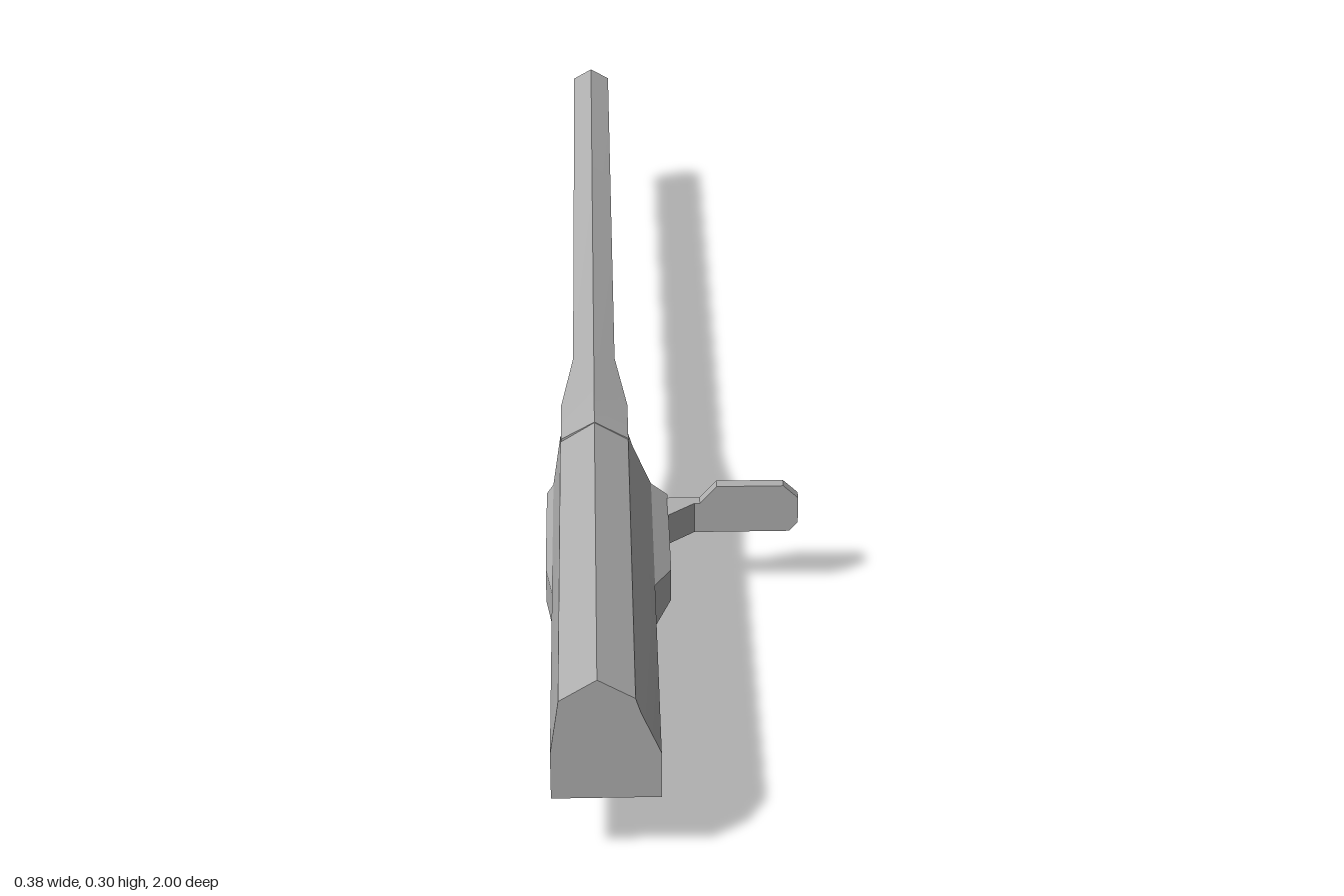
import * as THREE from 'three';
import { toCreasedNormals } from 'three/addons/utils/BufferGeometryUtils.js';

const CX = -0.117;

// Points of an upright hexagon, clockwise seen from the front
function hex(r, cy) {
  return Array.from({ length: 6 }, (_, i) => {
    const a = Math.PI / 2 - (i * Math.PI) / 3;
    return [CX + r * Math.cos(a), cy + r * Math.sin(a)];
  });
}

// Skin through cross-sections ordered from front (+z) to back, with end caps
function loft(sections, closed, crease) {
  const pos = [];
  const rings = sections.map(([z, pts]) => pts.map(([x, y]) => [x, y, z]));
  const n = rings[0].length;
  const tri = (a, b, c) => pos.push(...a, ...b, ...c);
  for (let s = 0; s < rings.length - 1; s++) {
    const a = rings[s], b = rings[s + 1];
    for (let i = 0; i < (closed ? n : n - 1); i++) {
      const j = (i + 1) % n;
      tri(a[i], a[j], b[j]);
      tri(a[i], b[j], b[i]);
    }
  }
  const cap = (ring, flip) => {
    const c = [0, 1, 2].map((k) => ring.reduce((t, p) => t + p[k], 0) / n);
    for (let i = 0; i < n; i++) {
      const p = ring[i], q = ring[(i + 1) % n];
      flip ? tri(c, q, p) : tri(c, p, q);
    }
  };
  cap(rings[0], true);
  cap(rings[rings.length - 1], false);
  const g = new THREE.BufferGeometry();
  g.setAttribute('position', new THREE.Float32BufferAttribute(pos, 3));
  return toCreasedNormals(g, crease);
}

const toShape = (pts) => new THREE.Shape(pts.map(([x, y]) => new THREE.Vector2(x, y)));

// Extrude an outline between two z positions
function slab(shape, z0, z1) {
  return new THREE.ExtrudeGeometry(shape, { depth: z1 - z0, bevelEnabled: false, curveSegments: 6 })
    .translate(0, 0, z0);
}

export function createModel() {
  const group = new THREE.Group();
  const grey = new THREE.MeshStandardMaterial({ color: 0xb0b0b0, side: THREE.DoubleSide });
  grey.name = 'grey';
  const add = (name, geometry) => {
    const mesh = new THREE.Mesh(geometry, grey);
    mesh.name = name;
    group.add(mesh);
  };

  // Receiver shell, open underneath, flaring at the lower rear
  const profile = (left, right, yl, yr) => [
    [left, 0.108], [left, yl], [-0.18, 0.18], [-0.168, 0.265], [CX, 0.298],
    [-0.067, 0.268], [-0.06, 0.245], [-0.033, 0.18], [right, yr], [right, 0.108],
  ];
  const plain = profile(-0.18, -0.033, 0.165, 0.16);
  const flared = profile(-0.19, -0.008, 0.165, 0.16);
  add('receiverShell', loft([[1, plain], [0.6, plain], [0.53, flared], [0.322, flared]], false, 0.4));

  // Long hexagonal rod, tapering behind the shell
  add('rod', loft([
    [0.34, hex(0.058, 0.241)], [0.24, hex(0.058, 0.241)],
    [0.08, hex(0.0375, 0.243)], [-1, hex(0.0365, 0.243)],
  ], true, 0.15));

  // Lower hexagonal tube
  add('lowerTube', slab(toShape(hex(0.058, 0.082)), 0.29, 0.8));

  // Collar with a recessed back and a small centre hole
  const collar = toShape(hex(0.08, 0.08));
  collar.holes.push(new THREE.Path(hex(0.054, 0.08).map(([x, y]) => new THREE.Vector2(x, y))));
  add('collarRim', slab(collar, 0.235, 0.31));
  const plate = toShape(hex(0.056, 0.08));
  plate.holes.push(new THREE.Path().absarc(CX, 0.08, 0.013, 0, Math.PI * 2, true));
  add('collarPlate', slab(plate, 0.255, 0.285));

  // Side lever with a flat paddle
  add('lever', slab(toShape([
    [-0.03, 0.11], [0.175, 0.11], [0.188, 0.125], [0.188, 0.168], [0.165, 0.19],
    [0.065, 0.19], [0.04, 0.161], [-0.03, 0.161],
  ]), 0.333, 0.35));

  // Wedge joining the lever to the shell
  const wedge = toShape([[-0.02, -0.345], [0.038, -0.345], [-0.008, -0.382], [-0.02, -0.382]]);
  const wedgeGeo = new THREE.ExtrudeGeometry(wedge, { depth: 0.051, bevelEnabled: false });
  add('leverRoot', wedgeGeo.rotateX(-Math.PI / 2).translate(0, 0.11, 0));

  return group;
}
